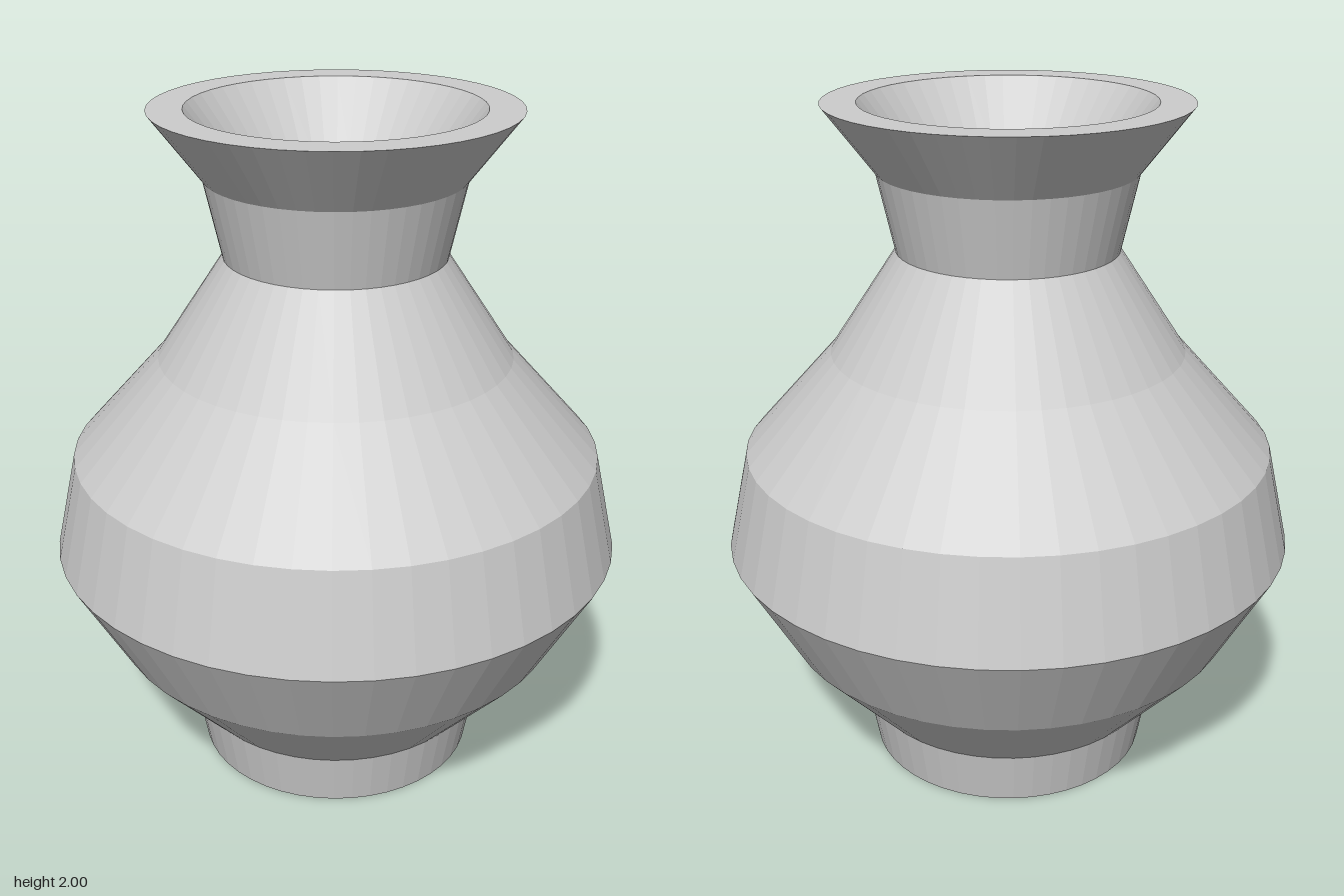
import * as THREE from 'three';

export function createModel() {
  const group = new THREE.Group();
  group.name = 'vase';

  const clay = new THREE.MeshStandardMaterial({ color: 0xcccccc, flatShading: true });
  clay.name = 'pale grey clay';

  // Outer wall, from the foot up to the rim: [radius, height]
  const outer = [
    [0.42, 0], [0.45, 0.165], [0.68, 0.42], [0.84, 0.71], [0.775, 1.0],
    [0.515, 1.29], [0.32, 1.585], [0.37, 1.81], [0.515, 2.0],
  ];

  // Inner wall, the same rings set in by the wall thickness, down to a flat floor
  const wall = 0.1;
  const inner = outer.slice(1).reverse().map(([r, y]) => [r - wall, y]);
  const floor = [[0.335, 0.1], [0, 0.1]];

  // Closed cross-section from the centre of the base to the centre of the floor
  const profile = [[0, 0], ...outer, ...inner, ...floor]
    .map(([r, y]) => new THREE.Vector2(r, y));

  const body = new THREE.Mesh(new THREE.LatheGeometry(profile, 48), clay);
  body.name = 'vaseBody';
  group.add(body);
  return group;
}
